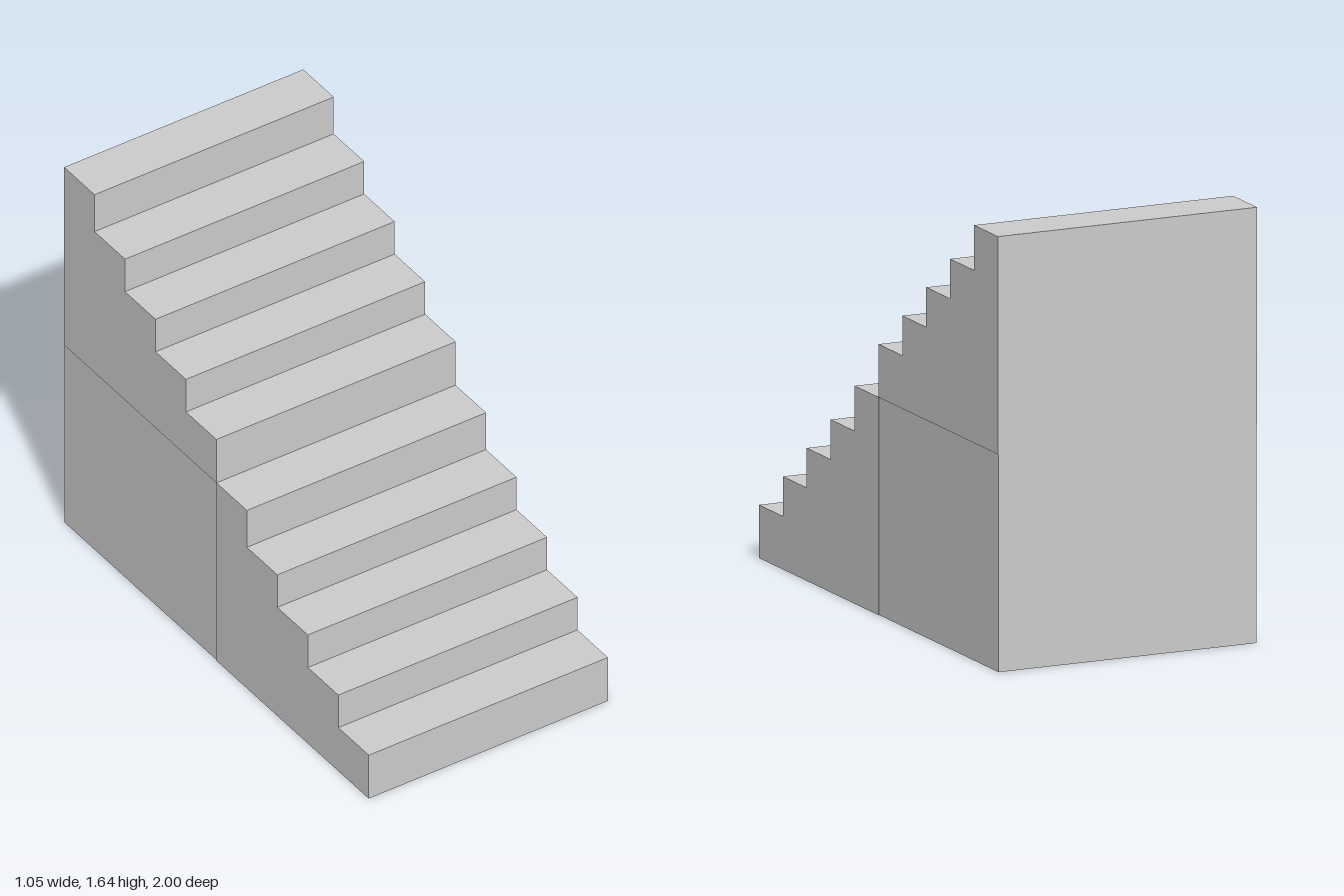
import * as THREE from 'three';

const WIDTH = 1.055;
const TREAD = 0.2;
const HEIGHTS = [0.2, 0.35, 0.5, 0.65, 0.82]; // tread heights within one flight
const FLIGHT_HEIGHT = HEIGHTS[HEIGHTS.length - 1];
const FLIGHT_DEPTH = TREAD * HEIGHTS.length;

const material = new THREE.MeshStandardMaterial({ color: 0xcccccc, flatShading: true });

// Solid flight: stepped side profile (z, y) extruded across the width
function flightGeometry() {
  const profile = new THREE.Shape();
  profile.moveTo(0, 0);
  profile.lineTo(FLIGHT_DEPTH, 0);
  HEIGHTS.forEach((y, i) => {
    profile.lineTo(FLIGHT_DEPTH - i * TREAD, y);
    profile.lineTo(FLIGHT_DEPTH - (i + 1) * TREAD, y);
  });
  const geometry = new THREE.ExtrudeGeometry(profile, { depth: WIDTH, bevelEnabled: false });
  geometry.rotateY(-Math.PI / 2);
  geometry.translate(WIDTH / 2, 0, 0);
  return geometry;
}

export function createModel() {
  const group = new THREE.Group();
  group.name = 'staircase';

  const add = (name, geometry, y, z) => {
    const mesh = new THREE.Mesh(geometry, material);
    mesh.name = name;
    mesh.position.set(0, y, z);
    group.add(mesh);
  };

  // Two identical flights, the upper one raised on a solid block
  const flight = flightGeometry();
  add('lowerFlight', flight, 0, 0);
  add('upperFlight', flight, FLIGHT_HEIGHT, -FLIGHT_DEPTH);
  add('supportBlock', new THREE.BoxGeometry(WIDTH - 0.006, FLIGHT_HEIGHT, FLIGHT_DEPTH),
    FLIGHT_HEIGHT / 2, -FLIGHT_DEPTH / 2);

  return group;
}
